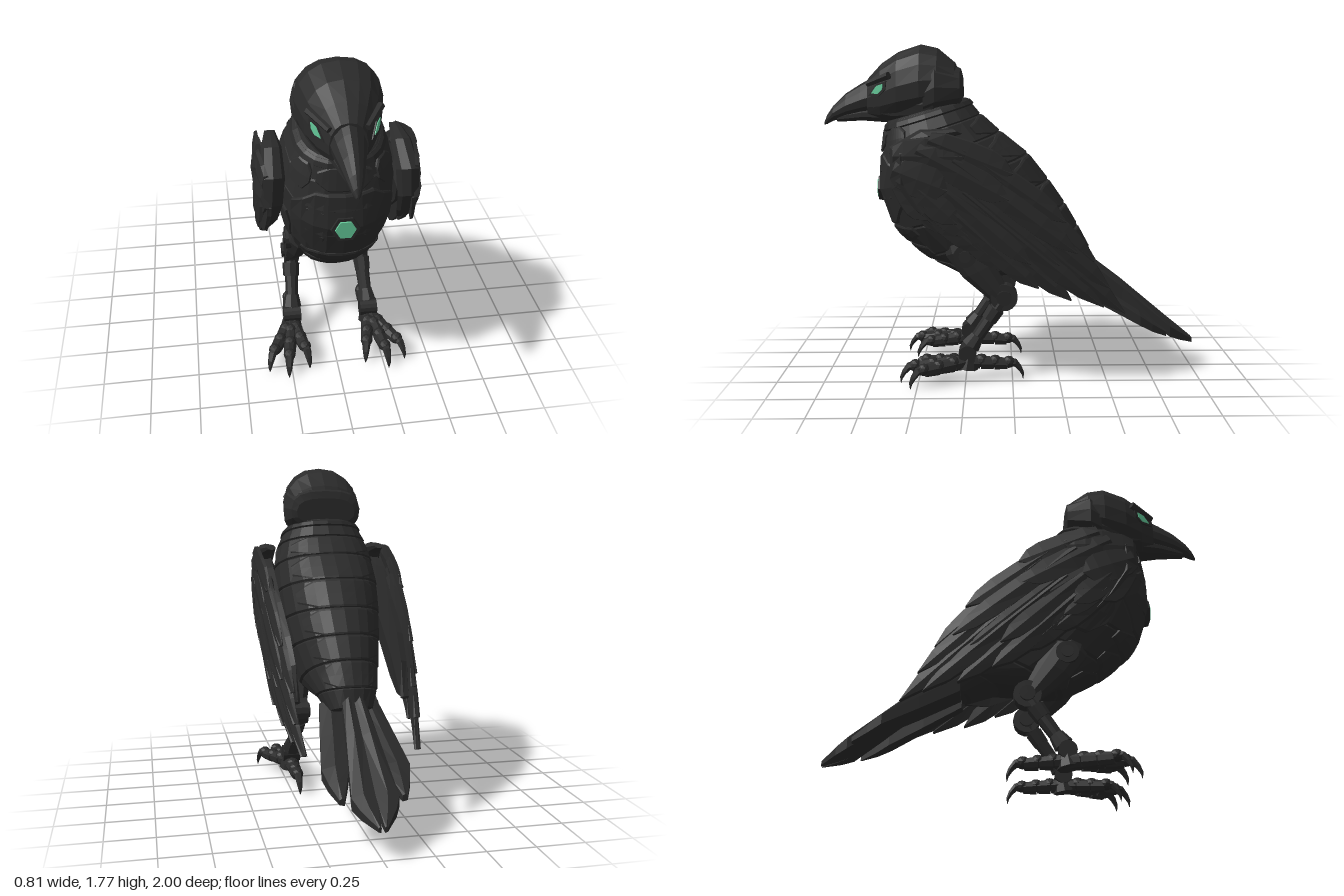
import * as THREE from 'three';

const V = (x, y, z) => new THREE.Vector3(x, y, z);
const plating = new THREE.MeshStandardMaterial({ color: 0x2b2b2b, flatShading: true });
plating.name = 'dark plating';
const joints = new THREE.MeshStandardMaterial({ color: 0x282828, flatShading: true });
joints.name = 'joint metal';
const glow = new THREE.MeshStandardMaterial({ color: 0x62c596, flatShading: true });
glow.name = 'green glow';

// Closed solid through rings of equal point count, always wound outward
function loft(rings) {
  const tris = [], n = rings[0].length;
  const mid = r => r.reduce((a, p) => a.add(p), V(0, 0, 0)).divideScalar(n);
  for (let i = 0; i < rings.length - 1; i++)
    for (let j = 0; j < n; j++) {
      const k = (j + 1) % n, a = rings[i], b = rings[i + 1];
      tris.push([a[j], b[j], b[k]], [a[j], b[k], a[k]]);
    }
  const first = rings[0], last = rings[rings.length - 1], c0 = mid(first), c1 = mid(last);
  for (let j = 0; j < n; j++) {
    const k = (j + 1) % n;
    tris.push([c0, first[j], first[k]], [c1, last[k], last[j]]);
  }
  const vol = tris.reduce((v, [a, b, c]) => v + a.dot(b.clone().cross(c)), 0);
  const pts = tris.flatMap(([a, b, c]) => (vol < 0 ? [a, c, b] : [a, b, c]));
  const g = new THREE.BufferGeometry().setFromPoints(pts);
  g.computeVertexNormals();
  return g;
}

// Point on a rounded cross-section spanning a top and a bottom point
const spow = (v, e) => Math.sign(v) * Math.abs(v) ** e;
function sectionPoint([tz, ty, bz, by, w], th, inf = 0, e = 0.85, egg = 0) {
  const c = spow(Math.cos(th), e), s = spow(Math.sin(th), e);
  const up = V(0, ty - by, tz - bz), h = up.length() / 2;
  return V((w + inf) * s * (1 - egg * c), (ty + by) / 2, (tz + bz) / 2).addScaledVector(up.normalize(), (h + inf) * c);
}
const section = (st, inf, e, egg, n = 20) =>
  Array.from({ length: n }, (_, i) => sectionPoint(st, (i / n) * Math.PI * 2, inf, e, egg));
const upright = ([z, t, b, w]) => [z, t, z, b, w];

// Body stations: top z, top y, bottom z, bottom y, half width
const BODY = [
  [0.24, 1.5, 0.67, 1.37, 0.2], [0.17, 1.41, 0.685, 1.25, 0.25], [0.07, 1.32, 0.71, 1.1, 0.28],
  [-0.08, 1.2, 0.695, 0.95, 0.283], [-0.19, 1.06, 0.62, 0.79, 0.268], [-0.28, 0.93, 0.47, 0.65, 0.24],
  [-0.35, 0.81, 0.22, 0.52, 0.2], [-0.42, 0.68, -0.1, 0.55, 0.155], [-0.44, 0.58, -0.26, 0.5, 0.11],
];
function station(u) {
  u = Math.min(Math.max(u, 0), BODY.length - 1);
  const i = Math.min(Math.floor(u), BODY.length - 2), f = u - i;
  return BODY[i].map((v, k) => v + (BODY[i + 1][k] - v) * f);
}
// Thin armour plate hugging the body, with chamfered corners
function bodyPlate(u0, u1, t0, t1, lift = 0.01) {
  const rings = [];
  for (let i = 0; i <= 8; i++) {
    const f = i / 8, th = t0 + (t1 - t0) * f;
    const cut = (u1 - u0) * 0.28 * Math.max(0, Math.abs(f - 0.5) * 4 - 1);
    const at = (u, inf) => sectionPoint(station(u), th, inf);
    const a = u0 + cut, b = u1 - cut, m = (a + b) / 2;
    rings.push([at(a, -0.02), at(a, lift * 0.5), at(a + 0.06, lift), at(m, lift), at(b - 0.06, lift), at(b, lift * 0.5), at(b, -0.02)]);
  }
  return loft(rings);
}

// Angular feather blade with a raised spine; warp bends every point
const BLADE = [[0, 0.55], [0.15, 0.85], [0.45, 1], [0.7, 1], [0.86, 0.75], [1, 0.06]];
function blade(root, tip, side, normal, w, th, warp = p => p) {
  return loft(BLADE.map(([t, k]) => {
    const c = root.clone().lerp(tip, t), h = th * (1 - 0.5 * t);
    return [[-1, -0.4], [-0.92, 0.5], [0, 1], [0.92, 0.5], [1, -0.4], [0, -0.9]]
      .map(([a, b]) => warp(c.clone().addScaledVector(side, a * w * k).addScaledVector(normal, b * h)));
  }));
}

// Round rod between two points
function rod(a, b, r0, r1, n = 10) {
  const d = b.clone().sub(a), g = new THREE.CylinderGeometry(r1, r0, d.length(), n);
  g.applyQuaternion(new THREE.Quaternion().setFromUnitVectors(V(0, 1, 0), d.normalize()));
  return g.translate((a.x + b.x) / 2, (a.y + b.y) / 2, (a.z + b.z) / 2);
}

// Sideways sweep of the wing: widest at the shoulder, drawing in toward the tip
function wingX({ y, z }) {
  const t = (0.5 - z) * 0.645 - (1.3 - y) * 0.765;
  return 0.362 - 0.15 * Math.max(0, 0.1 - z) ** 2 - 0.35 * Math.max(0, z - 0.3) ** 2 - 0.3 * Math.max(0, t) ** 2;
}

export function createModel() {
  const model = new THREE.Group();
  const add = (name, geo, mat = plating) => {
    const m = new THREE.Mesh(geo, mat);
    m.name = name;
    model.add(m);
    return m;
  };

  // Body: overlapping bands, then back, chest and belly plates
  for (let i = 0; i < BODY.length - 1; i++)
    add('bodyBand', loft([[-0.04, -0.012], [0.06, -0.002], [0.94, 0.002], [1.04, -0.012]]
      .map(([f, inf]) => section(station(i + f), inf))));
  for (let i = 0; i < 6; i++) add('backPlate', bodyPlate(i + 1.05, i + 1.98, -0.85, 0.85, 0.007));
  add('chestPlate', bodyPlate(1.35, 3.75, Math.PI - 0.95, Math.PI + 0.95));
  for (let i = 0; i < 3; i++)
    add('bellyPlate', bodyPlate(3.8 + i * 0.7, 4.45 + i * 0.7, Math.PI - 0.75 + i * 0.1, Math.PI + 0.75 - i * 0.1, 0.008));
  add('throatPlate', bodyPlate(0.3, 1.25, Math.PI - 0.5, Math.PI + 0.5));
  add('neckRing', loft([[0, -0.01], [0.15, 0.008], [0.35, 0.01], [0.5, -0.01]].map(([u, f]) => section(station(u), f))), joints);

  // Chest core
  const hex = (r0, r1, d, z) => new THREE.CylinderGeometry(r1, r0, d, 6).rotateY(Math.PI / 6).rotateX(Math.PI / 2).translate(0, 1.015, z);
  add('coreBezel', hex(0.08, 0.07, 0.05, 0.691), joints);
  add('core', hex(0.062, 0.05, 0.03, 0.707), glow);

  // Head and helmet band
  const HEAD = [
    [0.265, 1.6, 1.49, 0.15], [0.3, 1.68, 1.46, 0.19], [0.39, 1.755, 1.43, 0.205], [0.48, 1.775, 1.4, 0.208],
    [0.6, 1.735, 1.38, 0.18], [0.69, 1.675, 1.37, 0.135], [0.76, 1.6, 1.39, 0.088],
  ].map(upright);
  add('head', loft(HEAD.map(s => section(s, 0, 0.85, 0.1, 16))));
  add('napeBand', loft([[0.262, 1.61, 1.47, 0.165], [0.272, 1.65, 1.45, 0.195], [0.4, 1.71, 1.4, 0.22], [0.46, 1.66, 1.385, 0.2]]
    .map(s => section(upright(s), 0, 0.75, 0.05, 16))));

  // Beak
  add('upperBeak', loft([[0.69, 1.63, 1.41, 0.095], [0.8, 1.57, 1.4, 0.076], [0.88, 1.52, 1.39, 0.056], [0.95, 1.455, 1.375, 0.036], [0.985, 1.405, 1.357, 0.02], [1, 1.37, 1.353, 0.006]]
    .map(s => section(upright(s), 0, 1.1, 0.15, 12))));
  add('lowerBeak', loft([[0.66, 1.46, 1.365, 0.095], [0.8, 1.44, 1.375, 0.062], [0.93, 1.41, 1.368, 0.025]]
    .map(s => section(upright(s), 0, 0.9, 0, 10))));

  for (const s of [1, -1]) {
    const P = (x, y, z) => V(s * x, y, z);

    // Eye, socket and brow
    const almond = (k, d) => {
      const pts = [[-0.045, -0.028], [0.005, -0.028], [0.036, -0.002], [0.04, 0.03], [-0.005, 0.018]];
      return new THREE.ExtrudeGeometry(new THREE.Shape(pts.map(([x, y]) => new THREE.Vector2(s * x * k, y * k))), { depth: d, bevelEnabled: false });
    };
    for (const [name, k, d, mat] of [['eyeSocket', 1.35, 0.006, joints], ['eye', 0.88, 0.01, glow]]) {
      const m = add(name, almond(k, d), mat);
      m.position.copy(P(0.133, 1.545, 0.695));
      m.lookAt(P(0.133 + 0.86, 1.585, 0.695 + 0.5));
    }
    add('brow', rod(P(0.085, 1.57, 0.755), P(0.165, 1.615, 0.635), 0.016, 0.02, 6));
    add('cheekPlate', blade(P(0.185, 1.47, 0.4), P(0.1, 1.45, 0.72), V(0, 1, 0), P(0.85, 0, 0.5), 0.055, 0.02));

    // Shoulder straps and flank plates
    add('shoulderStrap', bodyPlate(0.35, 1.4, Math.PI - s * 0.62, Math.PI - s * 1.15, 0.014));
    add('flankPlate', bodyPlate(3.0, 4.5, Math.PI - s * 1.0, Math.PI - s * 1.45));

    // Wing core, leading edge and three rows of feathers
    const wingBlade = (name, rz, ry, tz, ty, w, th, off) => {
      const d = V(0, ty - ry, tz - rz).normalize();
      add(name, blade(V(off, ry, rz), V(off, ty, tz), V(0, -d.z, d.y), V(1, 0, 0), w, th,
        p => V(s * (p.x + wingX(p)), p.y, p.z)));
    };
    wingBlade('wingCore', 0.5, 1.2, -0.36, 0.6, 0.17, 0.06, -0.04);
    const rows = [
      ['flightFeather', 0.062, 0.036, -0.005, [[0.15, 1.17, -0.42, 0.67], [0.18, 1.12, -0.5, 0.53], [0.2, 1.08, -0.585, 0.39], [0.25, 1.04, -0.47, 0.43], [0.3, 1.0, -0.3, 0.47], [0.35, 0.98, -0.13, 0.54], [0.4, 0.97, 0.03, 0.63], [0.45, 0.97, 0.17, 0.74]]],
      ['covertFeather', 0.06, 0.024, 0.012, [[0.25, 1.25, -0.27, 0.88], [0.3, 1.2, -0.33, 0.72], [0.35, 1.15, -0.24, 0.66], [0.4, 1.1, -0.09, 0.67], [0.45, 1.06, 0.07, 0.73], [0.5, 1.05, 0.23, 0.82]]],
      ['shortFeather', 0.075, 0.022, 0.02, [[0.42, 1.3, 0.0, 1.13], [0.48, 1.25, 0.02, 1.0], [0.53, 1.19, 0.12, 0.92], [0.57, 1.14, 0.28, 0.88], [0.58, 1.12, 0.43, 0.9]]],
      ['shoulderPlate', 0.095, 0.022, 0.026, [[0.6, 1.22, 0.24, 1.22], [0.6, 1.15, 0.33, 1.05]]],
    ];
    for (const [name, w, th, off, list] of rows)
      list.forEach((f, i) => wingBlade(name, ...f, w, th, off + (i % 2) * 0.006));
    const edge = [[0.31, 1.34, 0.28, 0.025], [0.315, 1.32, 0.42, 0.05], [0.325, 1.23, 0.56, 0.06], [0.335, 1.08, 0.56, 0.055], [0.345, 0.94, 0.47, 0.045], [0.35, 0.83, 0.36, 0.02]];
    add('wingLeadingEdge', loft(edge.map(([x, y, z, r]) =>
      Array.from({ length: 8 }, (_, i) => P(x + r * Math.cos(i * Math.PI / 4), y + r * 0.55 * Math.sin(i * Math.PI / 4), z + r * Math.sin(i * Math.PI / 4))))));

    // Tail feathers from stations: z, inner x, outer x, y, half thickness
    const tailFeather = (name, list) => add(name, loft(list.map(([z, a, b, y, h]) =>
      [P(a, y - h, z), P(a, y + h * 0.7, z), P((a + b) / 2, y + h, z), P(b, y + h * 0.6, z), P(b, y - h * 0.7, z)])));
    tailFeather('centreTailFeather', [[-0.34, 0, 0.05, 0.63, 0.07], [-0.6, 0, 0.08, 0.435, 0.065], [-0.86, 0, 0.115, 0.235, 0.045], [-0.92, 0.003, 0.085, 0.2, 0.033], [-1, 0.008, 0.022, 0.155, 0.015]]);
    tailFeather('outerTailFeather', [[-0.3, 0.04, 0.155, 0.54, 0.06], [-0.5, 0.06, 0.19, 0.425, 0.05], [-0.68, 0.085, 0.22, 0.325, 0.04], [-0.75, 0.11, 0.2, 0.28, 0.032], [-0.83, 0.14, 0.165, 0.235, 0.018]]);

    // Leg: thigh, hip disc, knee, shin, ankle
    const thigh = [[0.15, 0.82, 0.3, 0.07], [0.165, 0.72, 0.26, 0.095], [0.178, 0.6, 0.18, 0.085], [0.192, 0.5, 0.1, 0.06], [0.2, 0.45, 0.06, 0.045]];
    add('thigh', loft(thigh.map(([x, y, z, r]) => Array.from({ length: 10 }, (_, i) => {
      const t = i * Math.PI / 5;
      return P(x + r * 0.8 * Math.cos(t), y + r * 0.5 * Math.sin(t), z - r * Math.sin(t));
    }))));
    const disc = (name, x, y, z, r, len, mat) => add(name, rod(P(x - len / 2, y, z), P(x + len / 2, y, z), r, r, 14), mat);
    disc('hipDisc', 0.21, 0.68, 0.25, 0.06, 0.07, joints);
    disc('hipBolt', 0.218, 0.68, 0.25, 0.032, 0.07);
    disc('kneeDisc', 0.195, 0.455, 0.045, 0.072, 0.075);
    disc('kneeBolt', 0.195, 0.455, 0.045, 0.04, 0.105, joints);
    add('shin', rod(P(0.195, 0.44, 0.05), P(0.212, 0.17, 0.235), 0.042, 0.032));
    add('shinCuff', rod(P(0.2, 0.39, 0.085), P(0.204, 0.33, 0.125), 0.048, 0.044, 8));
    add('ankleCuff', rod(P(0.208, 0.245, 0.185), P(0.212, 0.19, 0.222), 0.038, 0.052, 8));
    disc('ankleDisc', 0.215, 0.155, 0.24, 0.047, 0.095, joints);
    add('footBase', rod(P(0.218, 0.13, 0.235), P(0.222, 0.07, 0.245), 0.045, 0.06, 8));

    // Toes with knuckles and curved claws
    const base = V(0.22, 0.105, 0.24);
    for (const [tx, tz] of [[0.335, 0.465], [0.26, 0.515], [0.17, 0.46], [0.215, 0.02]]) {
      const end = V(tx, 0.09, tz), dir = V(tx - base.x, 0, tz - base.z).normalize(), side = V(dir.z, 0, -dir.x);
      for (let i = 0; i < 3; i++) {
        const p = base.clone().lerp(end, i / 3), q = base.clone().lerp(end, (i + 0.92) / 3);
        add('toeSegment', rod(P(p.x, p.y, p.z), P(q.x, q.y, q.z), 0.042 - i * 0.003, 0.035 - i * 0.002, 8));
        const k = base.clone().lerp(end, (i + 1) / 3);
        add('knuckle', new THREE.IcosahedronGeometry(0.037 - i * 0.002, 1).translate(s * k.x, k.y + 0.01, k.z), joints);
      }
      add('claw', loft([[0, 0.008, 0.03], [0.035, 0.005, 0.028], [0.06, -0.025, 0.021], [0.075, -0.055, 0.013], [0.077, -0.084, 0.002]].map(([f, y, r]) =>
        Array.from({ length: 6 }, (_, i) => {
          const t = i * Math.PI / 3, c = Math.cos(t) * r * 0.8, h = Math.sin(t) * r;
          const p = end.clone().addScaledVector(dir, f + h * f * 8).addScaledVector(side, c);
          return P(p.x, Math.max(0, p.y + y + h * (1 - f * 9)), p.z);
        }))));
    }
  }
  return model;
}
